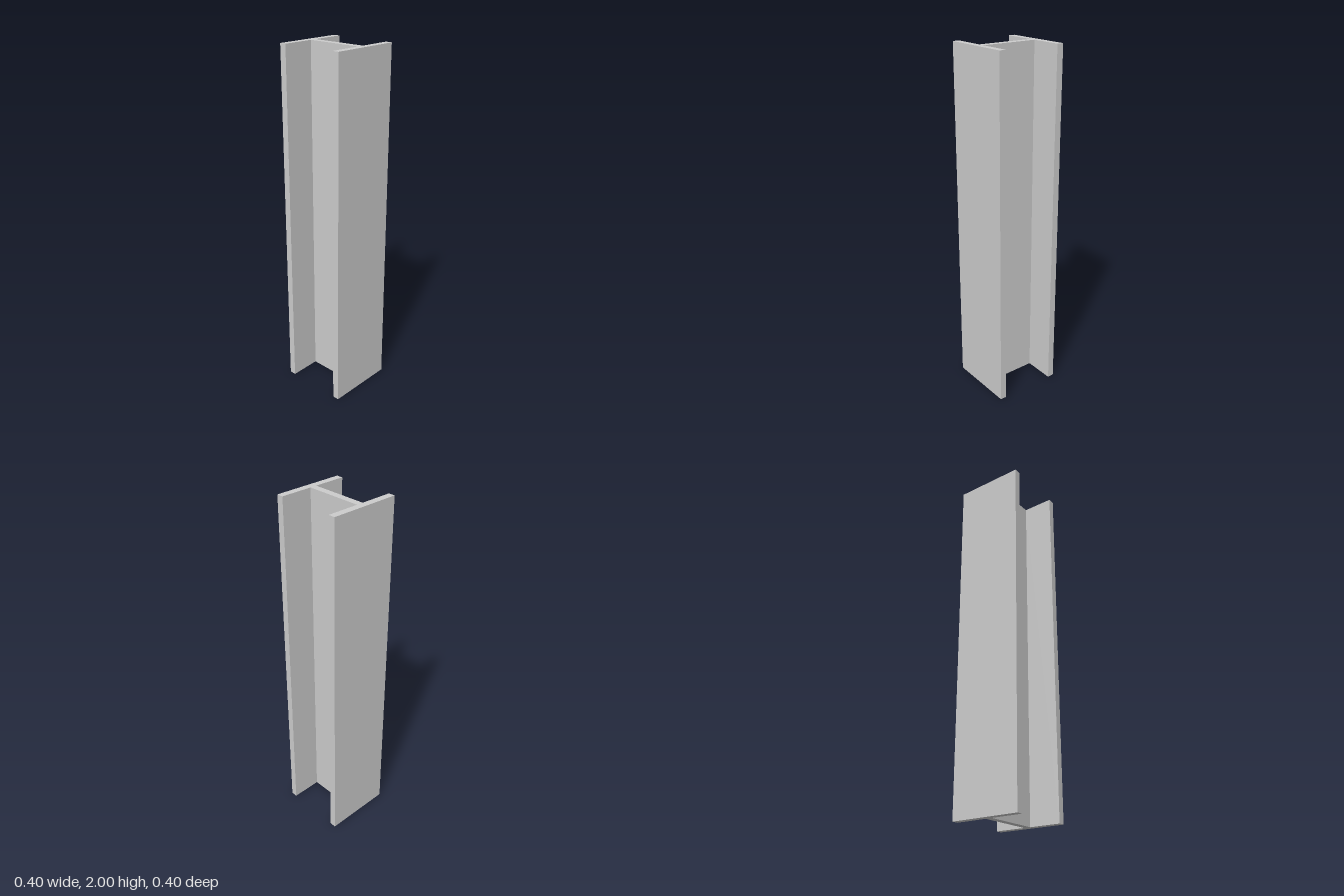
import * as THREE from 'three';

const HEIGHT = 2;
const HALF = 0.2;        // half of flange width and of section depth
const THICKNESS = 0.038; // flanges and web

export function createModel() {
  const group = new THREE.Group();
  group.name = 'steelColumn';

  // I-shaped cross-section: two flanges joined by a central web
  const inner = HALF - THICKNESS;
  const web = THICKNESS / 2;
  const quarter = [[HALF, HALF], [HALF, inner], [web, inner]];
  const mirrored = (sx, sy) => quarter.map(([x, y]) => new THREE.Vector2(x * sx, y * sy));
  const section = new THREE.Shape([
    ...mirrored(1, 1),
    ...mirrored(1, -1).reverse(),
    ...mirrored(-1, -1),
    ...mirrored(-1, 1).reverse(),
  ]);

  // Extrude along the height and stand it upright
  const geometry = new THREE.ExtrudeGeometry(section, { depth: HEIGHT, bevelEnabled: false });
  geometry.rotateX(-Math.PI / 2);

  const beam = new THREE.Mesh(geometry, new THREE.MeshStandardMaterial({ color: 0xcccccc }));
  beam.name = 'iBeam';
  group.add(beam);
  return group;
}
